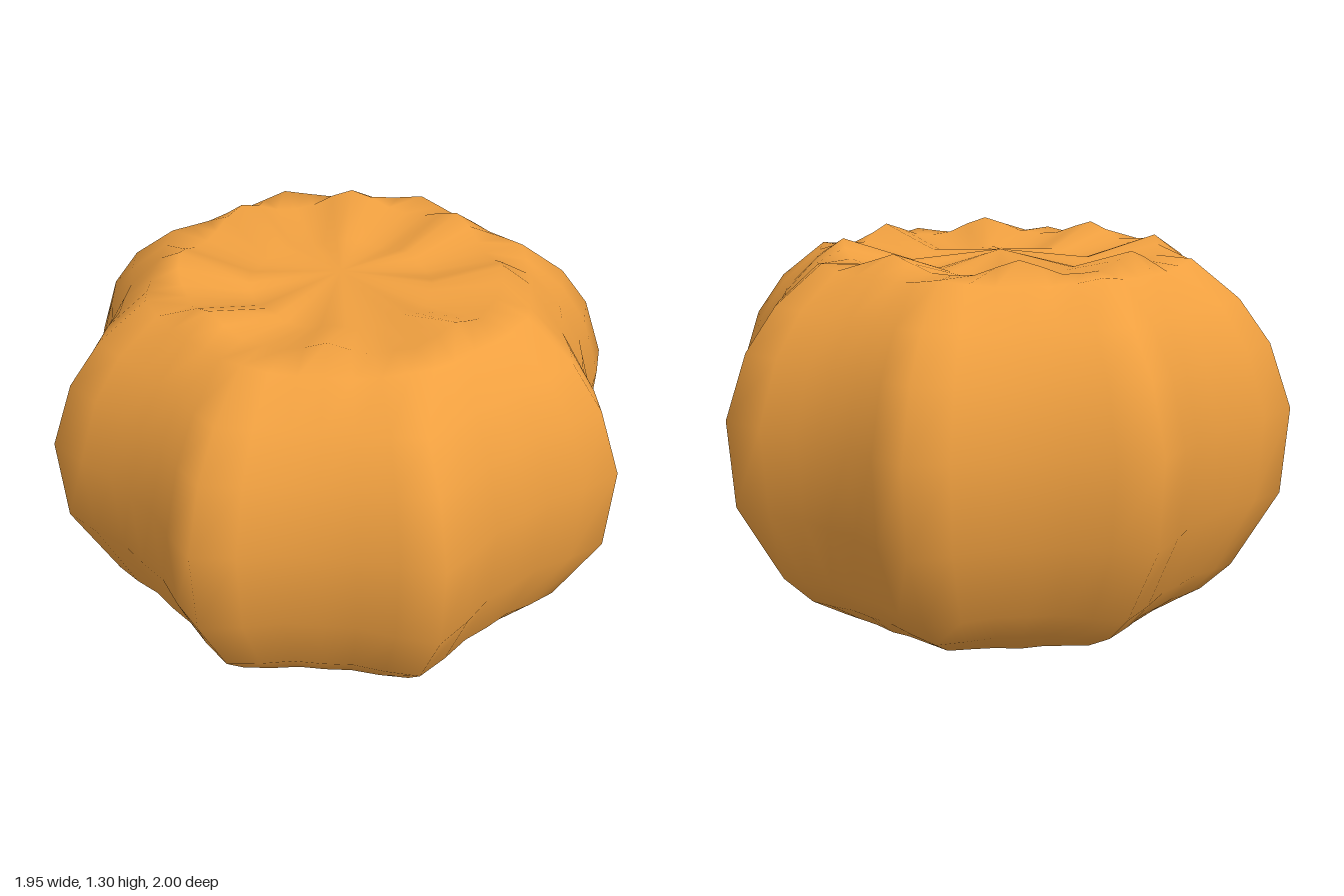
import * as THREE from 'three';

// Rings from the bottom pole to the top pole:
// [ridge radius, ridge height, groove radius, groove height, extra height mid-groove]
const RINGS = [
  [0.22, 0.045, 0.22, 0.055, -0.01],
  [0.44, 0.015, 0.42, 0.035, -0.015],
  [0.60, 0.06, 0.57, 0.075, -0.01],
  [0.72, 0.13, 0.67, 0.15, 0],
  [0.82, 0.23, 0.75, 0.25, 0],
  [0.97, 0.50, 0.85, 0.50, 0],
  [0.99, 0.79, 0.87, 0.78, 0],
  [0.915, 1.00, 0.81, 0.99, 0],
  [0.81, 1.14, 0.73, 1.13, 0],
  [0.65, 1.262, 0.62, 1.235, 0.01],
  [0.51, 1.255, 0.53, 1.258, 0.05],
  [0.30, 1.215, 0.30, 1.22, 0.015],
];
const LOBES = 8;
const SEGMENTS = LOBES * 6;

function gourdGeometry() {
  const positions = [0, 0.004, 0];
  const index = [];
  const at = (ring, seg) => 1 + ring * SEGMENTS + (seg % SEGMENTS);
  const top = 1 + RINGS.length * SEGMENTS;

  // Narrow ridges separated by broad grooves
  for (const [ridgeR, ridgeY, grooveR, grooveY, bump] of RINGS) {
    for (let s = 0; s < SEGMENTS; s++) {
      const a = (s / SEGMENTS) * Math.PI * 2;
      const c = Math.cos(a * LOBES);
      const ridge = Math.pow((1 + c) / 2, 2.5);
      const groove = Math.pow((1 - c) / 2, 2);
      const r = THREE.MathUtils.lerp(grooveR, ridgeR, ridge);
      const y = THREE.MathUtils.lerp(grooveY, ridgeY, ridge) + bump * groove;
      positions.push(Math.sin(a) * r * 0.987, y, Math.cos(a) * r * 1.01);
    }
  }
  positions.push(0, 1.266, 0);

  // Side bands and the two pole fans
  for (let s = 0; s < SEGMENTS; s++) {
    index.push(0, at(0, s + 1), at(0, s));
    for (let i = 0; i < RINGS.length - 1; i++) {
      const p = at(i, s), q = at(i, s + 1), u = at(i + 1, s), v = at(i + 1, s + 1);
      index.push(p, q, v, p, v, u);
    }
    index.push(top, at(RINGS.length - 1, s), at(RINGS.length - 1, s + 1));
  }

  const geometry = new THREE.BufferGeometry();
  geometry.setAttribute('position', new THREE.Float32BufferAttribute(positions, 3));
  geometry.setIndex(index);
  geometry.computeVertexNormals();
  return geometry;
}

export function createModel() {
  const group = new THREE.Group();
  group.name = 'pumpkin';
  const body = new THREE.Mesh(
    gourdGeometry(),
    new THREE.MeshStandardMaterial({ color: 0xf0a040 })
  );
  body.name = 'pumpkinBody';
  group.add(body);
  return group;
}
